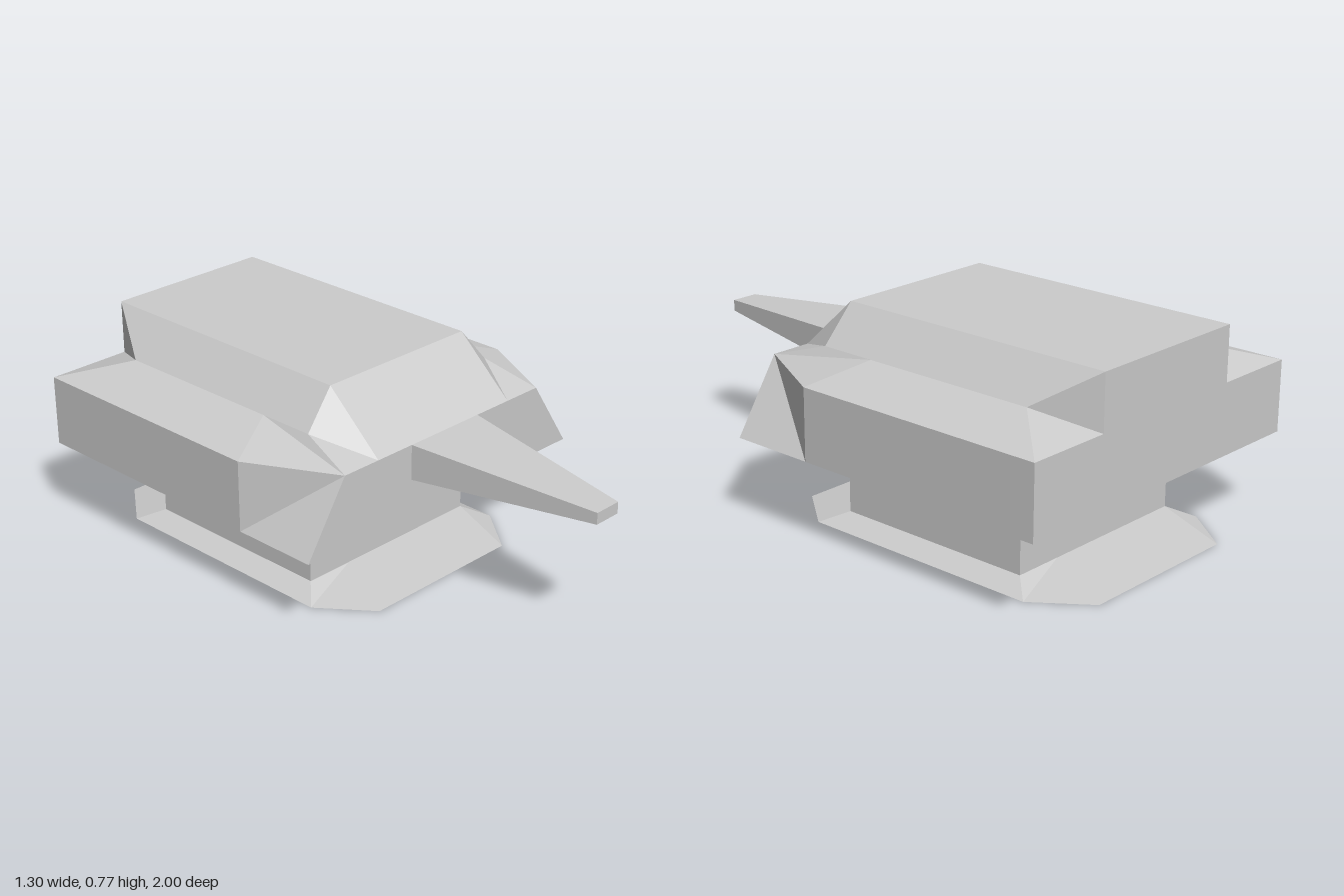
import * as THREE from 'three';

const material = new THREE.MeshStandardMaterial({ color: 0xcccccc, flatShading: true });

// Flat-shaded mesh from convex polygons, each fanned from its first corner
function polyMesh(name, polygons) {
  const positions = [];
  for (const p of polygons) {
    for (let i = 1; i < p.length - 1; i++) positions.push(...p[0], ...p[i], ...p[i + 1]);
  }
  const geometry = new THREE.BufferGeometry();
  geometry.setAttribute('position', new THREE.Float32BufferAttribute(positions, 3));
  geometry.computeVertexNormals();
  const mesh = new THREE.Mesh(geometry, material);
  mesh.name = name;
  return mesh;
}

// Closed solid between two matching loops, counter-clockwise seen from the end loop
function loft(name, start, end) {
  const n = start.length;
  const polygons = [[...start].reverse(), end];
  for (let i = 0; i < n; i++) {
    const j = (i + 1) % n;
    polygons.push([start[i], start[j], end[j], end[i]]);
  }
  return polyMesh(name, polygons);
}

// Horizontal rectangle at height y
const rect = (x, y, back, front) => [[-x, y, front], [x, y, front], [x, y, back], [-x, y, back]];

// Horizontal eight-cornered loop: front/back edges reach xi, side edges run zb..zf
const octagon = (xi, xo, y, back, zb, zf, front) => [
  [-xi, y, front], [xi, y, front], [xo, y, zf], [xo, y, zb],
  [xi, y, back], [-xi, y, back], [-xo, y, zb], [-xo, y, zf],
];

// Upright rectangle facing +z
const upright = (x, y0, y1, z) => [[-x, y0, z], [x, y0, z], [x, y1, z], [-x, y1, z]];

function armouredHull() {
  // Corners of the +x half
  const roofB = [0.325, 0.775, -1], roofF = [0.325, 0.775, 0.085];
  const midB = [0.44, 0.64, -0.79], midM = [0.44, 0.64, -0.12], midF = [0.44, 0.64, 0.095];
  const sideB = [0.65, 0.575, -1], sideF = [0.65, 0.575, -0.02];
  const front = [0.48, 0.575, 0.305], frontIn = [0.325, 0.575, 0.305], backIn = [0.325, 0.575, -1];
  const lowF = [0.65, 0.315, 0.305], lowM = [0.65, 0.315, -0.02], lowB = [0.65, 0.315, -1];
  const centre = (p) => [0, p[1], p[2]];

  const half = [
    [centre(roofF), roofF, roofB, centre(roofB)],       // roof
    [centre(frontIn), frontIn, roofF, centre(roofF)],   // front slope
    [frontIn, front, midF, roofF],                      // front slope, outer
    [centre(lowF), lowF, front, centre(front)],         // front wall
    [lowM, sideF, front, lowF],                         // front corner
    [front, sideF, midM, midF],                         // front shoulder
    [lowM, lowB, sideB, sideF],                         // side wall
    [sideF, sideB, midB, midM],                         // side shoulder
    [roofF, midF, midM, midB, roofB],                   // roof flank
    [midB, sideB, backIn, roofB],                       // rear notch
    [centre(lowB), centre(roofB), roofB, backIn],       // back wall
    [centre(lowB), backIn, sideB, lowB],                // back wall, outer
  ];
  // Mirror to the other side; after the flip the first corner stays first
  const mirrored = half.map(([a, ...rest]) =>
    [a, ...rest.reverse()].map(([x, y, z]) => [-x, y, z]));
  return polyMesh('hull', [...half, ...mirrored]);
}

export function createModel() {
  const group = new THREE.Group();
  group.name = 'turret';
  group.add(
    // Flared base plate and the neck standing on it
    loft('basePlate',
      octagon(0.32, 0.465, 0, -1, -0.81, 0.12, 0.305),
      octagon(0.2, 0.388, 0.04, -0.73, -0.73, 0.04, 0.04)),
    loft('neck', rect(0.388, 0.04, -0.73, 0.04), rect(0.388, 0.2, -0.73, 0.04)),
    // Sloping underside and the armoured upper hull
    loft('underside', rect(0.388, 0.2, -0.73, 0.04), rect(0.65, 0.315, -1, 0.305)),
    armouredHull(),
    // Tapering gun barrel
    loft('barrel', upright(0.165, 0.445, 0.575, 0.305), upright(0.053, 0.49, 0.532, 1)),
  );
  return group;
}
